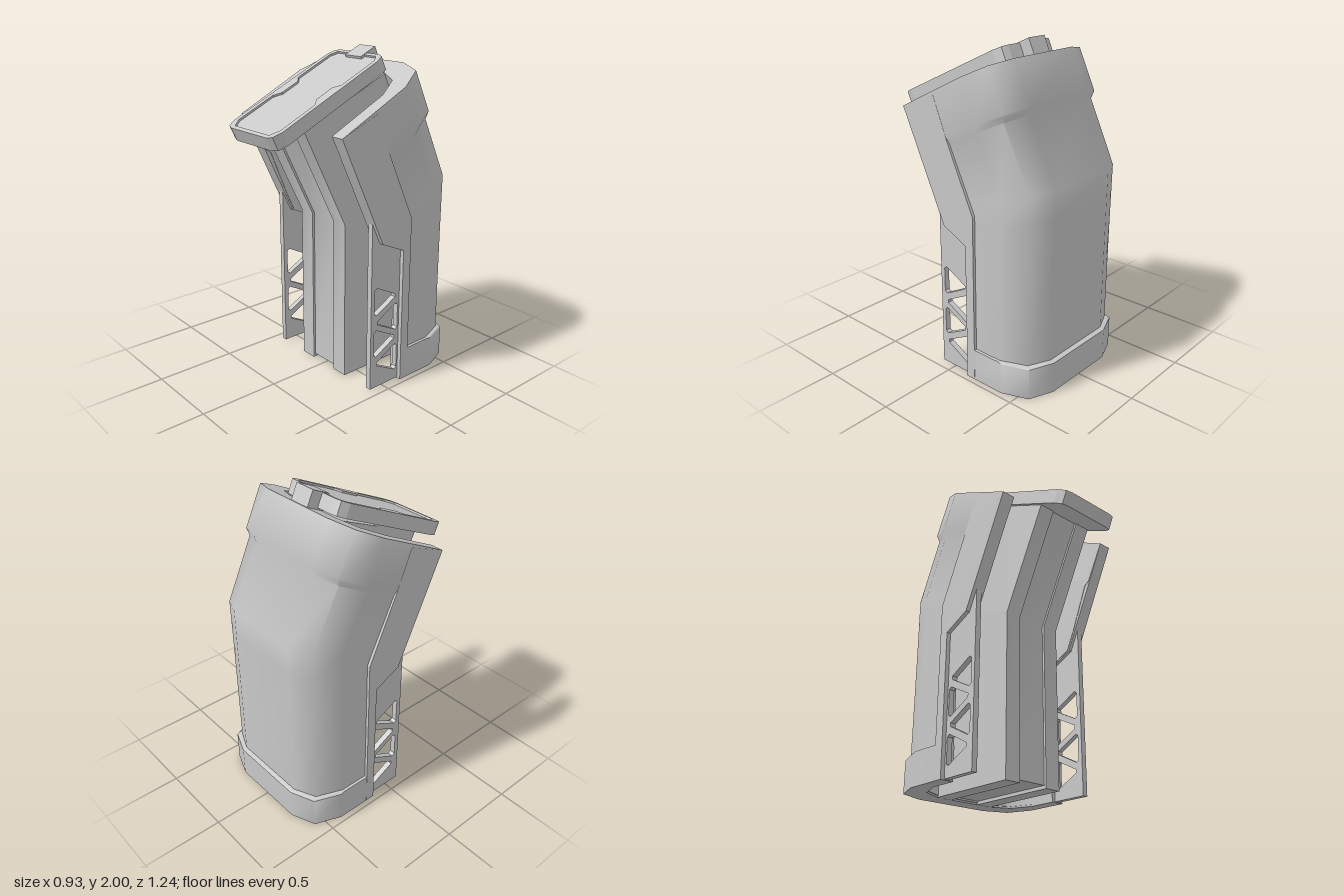
import * as THREE from 'three';
import { toCreasedNormals } from 'three/addons/utils/BufferGeometryUtils.js';

const grey = new THREE.MeshStandardMaterial({ color: 0xc8c8c8 });
grey.name = 'light grey';

function add(parent, name, geometry) {
  const mesh = new THREE.Mesh(geometry, grey);
  mesh.name = name;
  parent.add(mesh);
  return mesh;
}

const shapeOf = (pts) => new THREE.Shape(pts.map(([a, b]) => new THREE.Vector2(a, b)));

// Side profile of [z, y] points, given thickness from x0 to x1
function slabX(profile, x0, x1, holes = []) {
  const shape = shapeOf(profile);
  holes.forEach((h) => shape.holes.push(shapeOf(h)));
  const g = new THREE.ExtrudeGeometry(shape, { depth: x1 - x0, bevelEnabled: false });
  return g.rotateY(-Math.PI / 2).translate(x1, 0, 0);
}

// U section: [x, distance from the back]; Infinity reaches the front edge
const mirrored = (half) => [...half, ...half.slice().reverse().map(([x, e]) => [-x, e])];
const outerU = mirrored([[0.465, Infinity], [0.465, 0.22], [0.403, 0.06], [0.25, 0]]);
const innerU = mirrored([[0.38, Infinity], [0.38, 0.32], [0.325, 0.18], [0.2, 0.12]]);

// Walled channel through stations [backZ, backY, frontZ, frontY, inset], bottom to top.
// The inset narrows the outside while the inside stays in line.
function channel(stations) {
  const n = outerU.length, m = n * 2;
  const pos = [], index = [];
  for (const [bz, by, fz, fy, inset] of stations) {
    const len = Math.hypot(fz - bz, fy - by);
    const put = (x, e) => {
      const t = Math.min(e, len) / len;
      pos.push(x, by + (fy - by) * t, bz + (fz - bz) * t);
    };
    outerU.forEach(([x, e]) => put(Math.abs(x) > 0.3 ? x - Math.sign(x) * inset : x, e));
    innerU.slice().reverse().forEach(([x, e]) => put(x, e - inset));
  }
  const quad = (a, b, c, d) => index.push(a, b, c, a, c, d);
  for (let s = 0; s < stations.length - 1; s++) {
    for (let i = 0; i < m; i++) {
      const j = (i + 1) % m, o = s * m;
      quad(o + i, o + j, o + m + j, o + m + i);
    }
  }
  const top = (stations.length - 1) * m;
  for (let i = 0; i < n - 1; i++) {
    const a = i, b = i + 1, c = m - 2 - i, d = m - 1 - i;
    quad(top + a, top + b, top + c, top + d);
    quad(d, c, b, a);
  }
  const g = new THREE.BufferGeometry();
  g.setAttribute('position', new THREE.Float32BufferAttribute(pos, 3));
  g.setIndex(index);
  return toCreasedNormals(g, 0.9);
}

export function createModel() {
  const model = new THREE.Group();
  model.name = 'bentChannelHousing';

  // Bent shell, flaring softly into its top band
  add(model, 'shell', channel([
    [-0.595, 0.01, -0.14, 0.01, 0.018],
    [-0.595, 0.86, -0.14, 0.86, 0.018],
    [-0.595, 1.08, 0.03, 0.945, 0.018],
    [-0.595, 1.25, 0.08, 1.05, 0.018],
    [-0.41, 1.63, 0.2, 1.345, 0.012],
    [-0.423, 1.675, 0.235, 1.37, 0],
    [-0.305, 1.92, 0.35, 1.6, 0],
  ]));
  add(model, 'bottomBand', channel([
    [-0.622, 0, -0.13, 0, 0], [-0.622, 0.195, -0.13, 0.195, 0], [-0.595, 0.205, -0.13, 0.2, 0],
  ]));

  // Raised side panels and pierced fins
  const panel = [
    [-0.13, 0], [-0.13, 0.86], [0.04, 0.94], [0.35, 1.6], [0.1, 1.7],
    [0, 1.46], [-0.19, 1.05], [-0.19, 0],
  ];
  const fin = [[0.1, 0.005], [0.1, 1.067], [-0.16, 1.067], [-0.16, 0.005]];
  const holes = [];
  for (const y of [0.3, 0.575]) {
    holes.push([[0.072, y - 0.075], [0.055, y - 0.088], [-0.095, y - 0.01], [-0.095, y + 0.01],
      [0.055, y + 0.088], [0.072, y + 0.075]]);
    const k = y - 0.14;
    holes.push([[-0.118, k - 0.075], [-0.102, k - 0.088], [0.048, k - 0.01], [0.048, k + 0.01],
      [-0.102, k + 0.088], [-0.118, k + 0.075]]);
  }
  for (const [side, s] of [['left', 1], ['right', -1]]) {
    const span = (a, b) => (s > 0 ? [a, b] : [-b, -a]);
    add(model, side + 'SidePanel', slabX(panel, ...span(0.383, 0.466)));
    add(model, side + 'Fin', slabX(fin, ...span(0.405, 0.44), holes));
  }

  // Central column, softly shaded over the bend, with a shallow groove down its front
  const column = (inset, foot, x0, x1) => toCreasedNormals(slabX([
    [0.1 - inset, foot], [0.1 - inset, 1.0], [0.4 - inset, 1.61], [0.1, 1.75], [0.09, 1.735],
    [-0.21, 1.865], [-0.5, 1.25], [-0.5, foot],
  ], x0, x1), 0.9);
  add(model, 'columnLeftRail', column(0, 0, 0.1, 0.205));
  add(model, 'columnRightRail', column(0, 0, -0.205, -0.1));
  add(model, 'columnGroove', column(0.015, 0.02, -0.1, 0.1));

  // Tilted lid: slab, raised rim with notched recess, and back tab
  const lid = new THREE.Group();
  lid.name = 'lid';
  lid.position.set(0, 1.778, 0.225);
  lid.rotation.x = -1.138;
  model.add(lid);
  const loop = (half) => [...half, ...half.slice().reverse().map(([x, y]) => [-x, y])];
  const outline = loop([[0.165, -0.435], [0.205, -0.42], [0.225, -0.365],
    [0.225, 0.385], [0.205, 0.437], [0.165, 0.452]]);
  const recess = loop([[0.16, -0.41], [0.195, -0.355], [0.195, -0.094], [0.155, -0.05],
    [0.155, 0.077], [0.195, 0.115], [0.195, 0.385], [0.165, 0.428]]);
  const slab = new THREE.ExtrudeGeometry(shapeOf(outline), { depth: 0.073, bevelEnabled: false });
  add(lid, 'lidSlab', slab.translate(0, 0, -0.085));
  const rimShape = shapeOf(outline);
  rimShape.holes.push(shapeOf(recess));
  const rim = new THREE.ExtrudeGeometry(rimShape, { depth: 0.012, bevelEnabled: false });
  add(lid, 'lidRim', rim.translate(0, 0, -0.012));
  add(lid, 'lidTab', new THREE.BoxGeometry(0.136, 0.125, 0.1).translate(0, 0.462, -0.046));

  return model;
}
